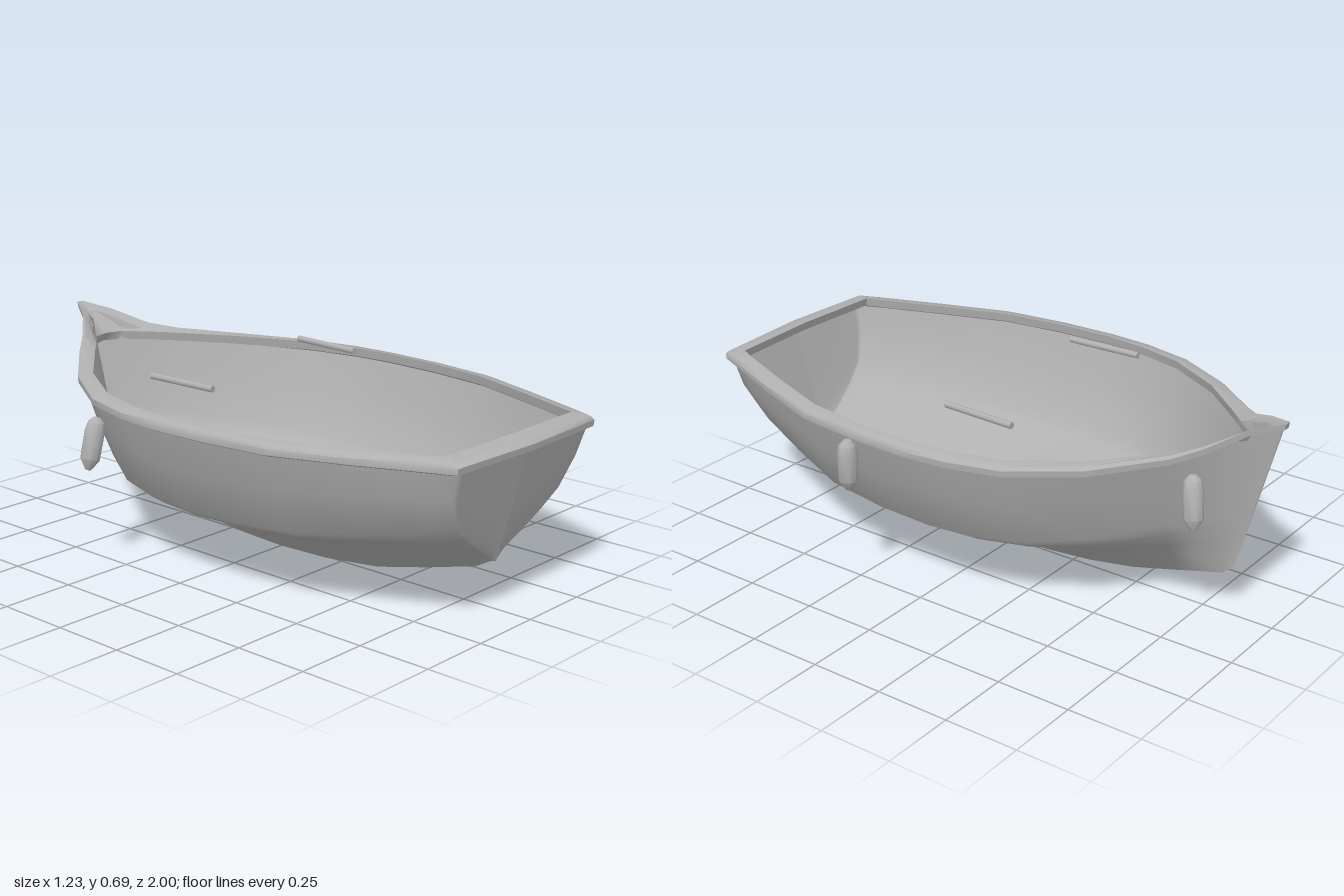
import * as THREE from 'three';
import { toCreasedNormals } from 'three/addons/utils/BufferGeometryUtils.js';

// Stations from stern to bow:
// rim outer x, z, y | rim inner x, z, y | keel z, y | section blend (0 transom, 1 midship, 2 bow)
const STATIONS = [
  [0.345, 0.98, 0.56, 0.32, 0.912, 0.572, 0.863, 0.16, 0],
  [0.378, 0.9, 0.56, 0.34, 0.865, 0.57, 0.81, 0.13, 0.15],
  [0.47, 0.67, 0.557, 0.425, 0.65, 0.567, 0.62, 0.078, 0.6],
  [0.555, 0.43, 0.555, 0.508, 0.42, 0.565, 0.42, 0.03, 1],
  [0.583, 0.2, 0.555, 0.537, 0.2, 0.565, 0.2, 0.006, 1],
  [0.59, 0, 0.555, 0.544, 0, 0.565, 0, 0, 1],
  [0.577, -0.16, 0.557, 0.53, -0.15, 0.565, -0.15, 0.006, 1],
  [0.533, -0.34, 0.56, 0.485, -0.32, 0.567, -0.31, 0.02, 1.1],
  [0.41, -0.55, 0.572, 0.36, -0.53, 0.575, -0.48, 0.047, 1.3],
  [0.235, -0.74, 0.598, 0.19, -0.71, 0.59, -0.64, 0.087, 1.6],
  [0.16, -0.81, 0.622, 0.125, -0.775, 0.595, -0.71, 0.105, 1.8],
  [0.066, -0.91, 0.677, 0.058, -0.848, 0.597, -0.81, 0.13, 2],
  [0.012, -1, 0.7, 0.004, -0.864, 0.597, -0.845, 0.16, 2],
];

// Half sections from keel to sheer, as fractions of half width and height
const SECTIONS = [
  [[0.03, 0], [0.15, 0.09], [0.34, 0.18], [0.6, 0.33], [0.81, 0.48], [0.95, 0.74], [1, 1]],
  [[0.02, 0], [0.2, 0.165], [0.46, 0.285], [0.72, 0.395], [0.81, 0.455], [0.93, 0.75], [1, 1]],
  [[0.04, 0], [0.22, 0.14], [0.4, 0.26], [0.56, 0.38], [0.67, 0.5], [0.85, 0.76], [1, 1]],
];

const mix = THREE.MathUtils.lerp;

// Joins rows of [x, y, z] points into a smooth indexed surface
function loft(rows) {
  const n = rows[0].length, index = [];
  for (let i = 0; i < rows.length - 1; i++) {
    for (let j = 0; j < n - 1; j++) {
      const a = i * n + j, b = a + n;
      index.push(a, a + 1, b, b, a + 1, b + 1);
    }
  }
  const geometry = new THREE.BufferGeometry();
  geometry.setAttribute('position', new THREE.Float32BufferAttribute(rows.flat(2), 3));
  geometry.setIndex(index);
  geometry.computeVertexNormals();
  return geometry;
}

// Hull skin, inset by its thickness: mirrored sections, closed at the transom and the stem
function shell(inset) {
  const rows = STATIONS.map(([ox, oz, oy, , , , kz, ky, blend]) => {
    const w = Math.max(0.008, ox - 0.018 - inset);
    const lowY = ky + inset, topY = oy - 0.025;
    const lowZ = kz * (1 - inset), topZ = oz * (0.985 - inset);
    const k = Math.min(1, Math.floor(blend)), f = blend - k;
    const half = SECTIONS[k].map(([x, y], j) => {
      const v = mix(y, SECTIONS[k + 1][j][1], f);
      return [w * mix(x, SECTIONS[k + 1][j][0], f), mix(lowY, topY, v), mix(lowZ, topZ, v)];
    });
    return [...half.map(([x, y, z]) => [-x, y, z]).reverse(), ...half];
  });
  const narrowed = (row, s, dz) => row.map(([x, y, z]) => [x * s, y, z + dz]);
  return loft([
    narrowed(rows[0], 0, 0.012), narrowed(rows[0], 0.5, 0.008), narrowed(rows[0], 0.93, 0.002),
    ...rows, narrowed(rows[rows.length - 1], 0, -0.004),
  ]);
}

// Gunwale: a bevelled band around the whole sheer
function rim() {
  const path = [[0, 0.998, 0.562, 0, 0.922, 0.574], ...STATIONS];
  const section = ([ox, oz, oy, ix, iz, iy], side) => {
    const at = (t, y) => [side * mix(ix, ox, t), y, mix(iz, oz, t)];
    return [
      at(0.1, iy - 0.03), at(0, iy), at(0.8, mix(iy, oy, 0.8) + 0.003), at(1, oy - 0.006),
      at(0.97, oy - 0.026), at(0.6, oy - 0.034), at(0.1, iy - 0.03),
    ];
  };
  const right = path.map((p) => section(p, 1));
  const left = path.map((p) => section(p, -1)).reverse();
  return toCreasedNormals(loft([...right, ...left]), 0.8);
}

export function createModel() {
  const boat = new THREE.Group();
  boat.name = 'rowingBoat';
  const grey = new THREE.MeshStandardMaterial({ color: 0xb0b0b0, side: THREE.DoubleSide });
  grey.name = 'grey';

  const add = (name, geometry) => {
    const mesh = new THREE.Mesh(geometry, grey);
    mesh.name = name;
    boat.add(mesh);
    return mesh;
  };
  // Stands a y-axis part between two points
  const place = (mesh, from, to) => {
    const a = new THREE.Vector3(...from), b = new THREE.Vector3(...to);
    mesh.position.copy(a).add(b).multiplyScalar(0.5);
    mesh.quaternion.setFromUnitVectors(new THREE.Vector3(0, 1, 0), b.sub(a).normalize());
  };

  for (const [name, geometry] of [['hull', shell(0)], ['interior', shell(0.01)], ['gunwale', rim()]]) {
    add(name, geometry).position.x = -0.012;
  }

  // Fenders hanging along the sides
  const profile = [[0, -0.087], [0.01, -0.085], [0.032, -0.05], [0.033, 0.04], [0.027, 0.07], [0.012, 0.086], [0, 0.087]];
  const fender = toCreasedNormals(
    new THREE.LatheGeometry(profile.map(([x, y]) => new THREE.Vector2(x, y)), 10), 0.7);
  place(add('leftFender', fender), [0.584, 0.357, 0.21], [0.584, 0.53, 0.21]);
  place(add('bowFender', fender), [0.207, 0.37, -0.823], [0.172, 0.54, -0.792]);
  place(add('rightFender', fender), [-0.598, 0.34, -0.31], [-0.555, 0.495, -0.31]);

  // Thin rods above the sides
  const rod = new THREE.CylinderGeometry(0.011, 0.011, 0.264, 10);
  place(add('leftRod', rod), [0.33, 0.613, 0.015], [0.342, 0.613, -0.248]);
  place(add('rightRod', rod), [-0.356, 0.613, 0.015], [-0.367, 0.613, -0.248]);

  return boat;
}
